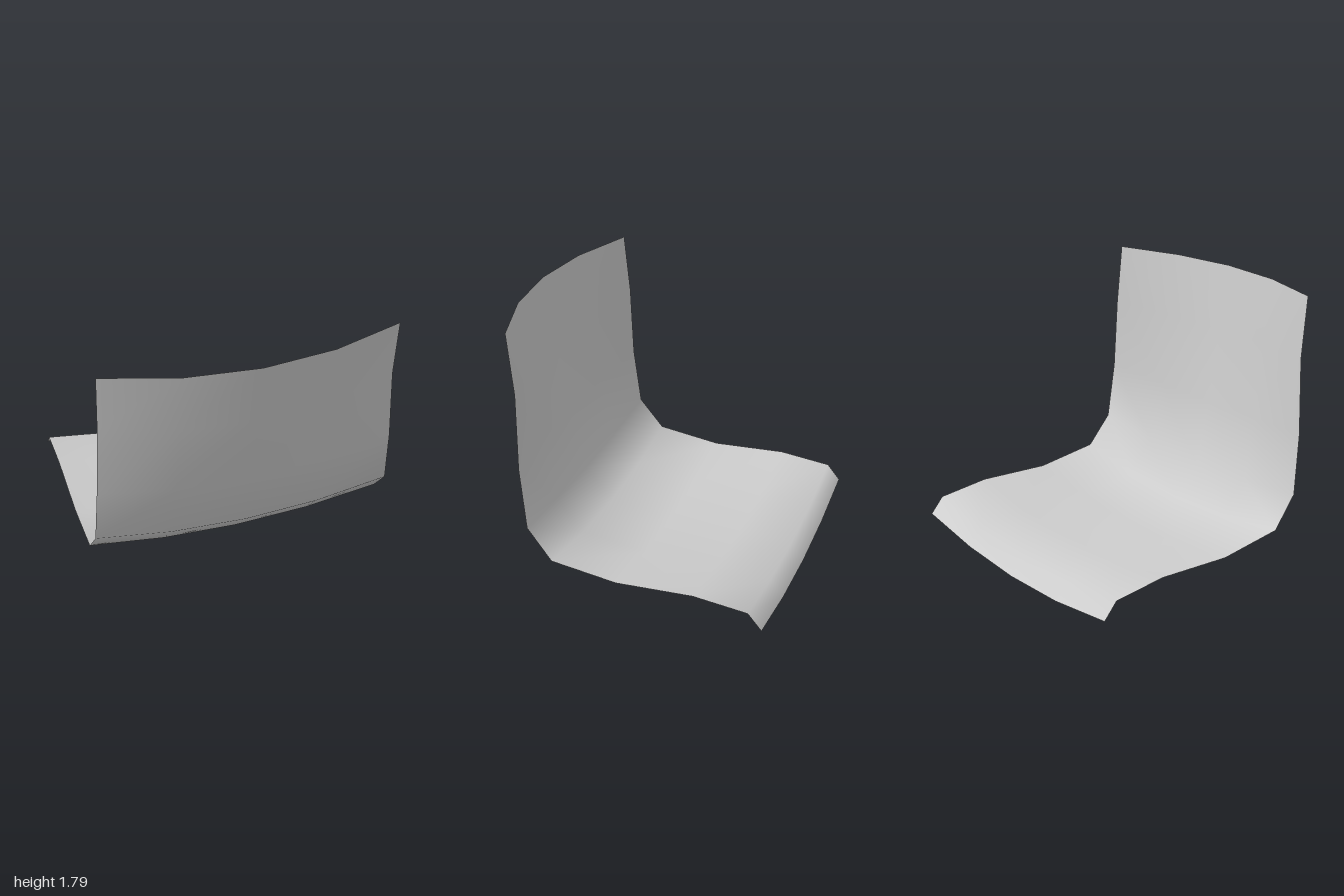
import * as THREE from 'three';

// Seat shell cross-sections from backrest top to seat lip:
// [centre z, centre y, edge z, edge y, half width]
const SECTIONS = [
  [0.925, 1.80, 0.73, 1.80, 0.94],
  [0.855, 1.36, 0.69, 1.40, 0.943],
  [0.77, 0.85, 0.68, 0.90, 0.97],
  [0.665, 0.42, 0.635, 0.50, 0.99],
  [0.47, 0.20, 0.47, 0.295, 1],
  [0.03, 0.135, 0.03, 0.23, 1],
  [-0.48, 0.16, -0.48, 0.25, 1],
  [-0.835, 0.115, -0.835, 0.207, 1],
  [-0.925, 0.005, -0.925, 0.10, 1],
];
const COLUMNS = [-1, -0.5, 0, 0.5, 1];

function shellGeometry() {
  const positions = [];
  const indices = [];
  const n = COLUMNS.length;
  SECTIONS.forEach(([cz, cy, ez, ey, w], r) => {
    COLUMNS.forEach((u, c) => {
      const bend = u * u; // parabolic curve across the width
      positions.push(u * w, cy + (ey - cy) * bend, cz + (ez - cz) * bend);
      if (r < SECTIONS.length - 1 && c < n - 1) {
        const a = r * n + c;
        indices.push(a, a + 1, a + n, a + 1, a + n + 1, a + n);
      }
    });
  });
  const geometry = new THREE.BufferGeometry();
  geometry.setAttribute('position', new THREE.Float32BufferAttribute(positions, 3));
  geometry.setIndex(indices);
  geometry.computeVertexNormals();
  return geometry;
}

export function createModel() {
  const group = new THREE.Group();
  group.name = 'chairShell';

  // One thin curved sheet forming backrest and seat
  const shellGrey = new THREE.MeshStandardMaterial({ color: 0xcccccc, side: THREE.DoubleSide });
  shellGrey.name = 'shell grey';
  const shell = new THREE.Mesh(shellGeometry(), shellGrey);
  shell.name = 'seatAndBackrest';
  group.add(shell);

  return group;
}
